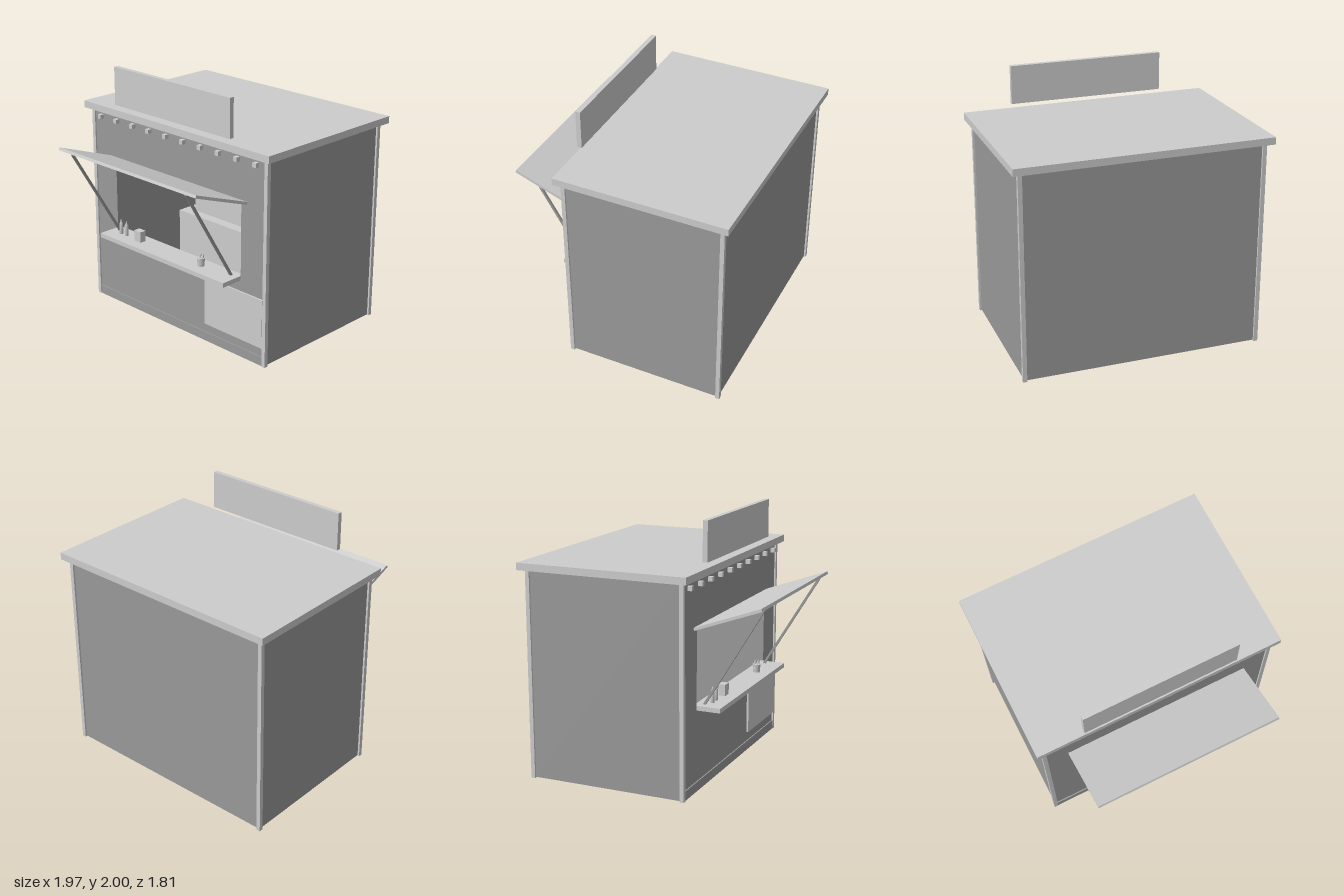
import * as THREE from 'three';

export function createModel() {
  const model = new THREE.Group();
  const light = new THREE.MeshStandardMaterial({ color: 0xcccccc });
  light.name = 'light grey';
  const dark = new THREE.MeshStandardMaterial({ color: 0x999999 });
  dark.name = 'mid grey';

  const add = (name, geometry, material, x = 0, y = 0, z = 0, parent = model) => {
    const mesh = new THREE.Mesh(geometry, material);
    mesh.name = name;
    mesh.position.set(x, y, z);
    parent.add(mesh);
    return mesh;
  };
  // Box given by its limits on each axis
  const box = (name, material, [x0, x1], [y0, y1], [z0, z1]) =>
    add(name, new THREE.BoxGeometry(x1 - x0, y1 - y0, z1 - z0), material,
      (x0 + x1) / 2, (y0 + y1) / 2, (z0 + z1) / 2);
  // Flat bar between two points of the yz plane
  const bar = (name, material, x, width, thick, [z0, y0], [z1, y1]) => {
    const length = Math.hypot(z1 - z0, y1 - y0);
    const mesh = add(name, new THREE.BoxGeometry(width, thick, length), material,
      x, (y0 + y1) / 2, (z0 + z1) / 2);
    mesh.rotation.x = -Math.atan2(y1 - y0, z1 - z0);
    return mesh;
  };

  // Shell: floor, walls and corner posts
  box('floor', dark, [-0.92, 0.92], [0.005, 0.07], [-0.845, 0.38]);
  box('backWall', dark, [-0.91, 0.91], [0.005, 1.605], [-0.85, -0.82]);
  for (const s of [-1, 1]) {
    const outer = s * 0.925, inner = s * 0.895;
    box('sideWall', dark, [Math.min(outer, inner), Math.max(outer, inner)], [0.005, 1.605], [-0.835, 0.375]);
    const edge = s > 0 ? [0.908, 0.94] : [-0.94, -0.908];
    box('frontPost', light, edge, [0, 1.605], [0.368, 0.4]);
    box('backPost', light, edge, [0, 1.605], [-0.865, -0.833]);
  }

  // Front wall with the serving hatch cut out
  const wall = new THREE.Shape([[-0.91, 0.07], [0.91, 0.07], [0.91, 1.605], [-0.91, 1.605]]
    .map(([x, y]) => new THREE.Vector2(x, y)));
  wall.holes.push(new THREE.Path([[-0.68, 0.64], [-0.68, 1.24], [0.68, 1.24], [0.68, 0.64]]
    .map(([x, y]) => new THREE.Vector2(x, y))));
  add('frontWall', new THREE.ExtrudeGeometry(wall, { depth: 0.03, bevelEnabled: false }), dark, 0, 0, 0.358);
  box('baseBeam', dark, [-0.908, 0.908], [0.003, 0.075], [0.36, 0.398]);
  box('menuPanel', light, [0.32, 0.908], [0.148, 0.535], [0.388, 0.403]);

  // Roof and sign board
  box('roof', light, [-0.985, 0.985], [1.605, 1.66], [-0.91, 0.44]);
  box('signBoard', light, [-0.612, 0.612], [1.7, 2], [0.402, 0.44]);

  // Row of small lamps under the eaves
  for (let i = 0; i < 10; i++) {
    const x = -0.83 + i * 0.1844;
    box('lamp', light, [x - 0.017, x + 0.017], [1.537, 1.571], [0.386, 0.422]);
  }

  // Raised hatch flap with its struts, and the serving shelf
  bar('hatchFlap', light, 0, 1.48, 0.022, [0.39, 1.238], [0.901, 1.423]);
  for (const s of [-1, 1]) bar('strut', dark, s * 0.615, 0.018, 0.018, [0.42, 0.65], [0.874, 1.4]);
  box('servingShelf', light, [-0.68, 0.68], [0.62, 0.655], [0.36, 0.572]);

  // Fittings inside
  box('workCounter', light, [-0.8, -0.07], [0.07, 0.55], [-0.82, -0.41]);
  box('counterTopUnit', light, [-0.7, -0.07], [0.55, 0.77], [-0.8, -0.5]);
  box('cabinet', light, [0.245, 0.88], [0.07, 0.86], [-0.82, -0.3]);

  // Sauce bottles
  const bottle = new THREE.LatheGeometry([
    [0, 0], [0.015, 0], [0.015, 0.085], [0.006, 0.1], [0.003, 0.12], [0, 0.12],
  ].map(([x, y]) => new THREE.Vector2(x, y)), 12);
  for (const x of [-0.557, -0.495]) add('sauceBottle', bottle, light, x, 0.655, 0.46);

  // Napkin holder
  box('napkinHolder', light, [-0.375, -0.305], [0.655, 0.742], [0.43, 0.485]);

  // Cup with leaning cutlery
  const cup = new THREE.Group();
  cup.name = 'cutleryCup';
  cup.position.set(0.34, 0.655, 0.46);
  model.add(cup);
  add('cup', new THREE.CylinderGeometry(0.032, 0.026, 0.065, 12), light, 0, 0.0325, 0, cup);
  for (let i = 0; i < 4; i++) {
    const stick = add('cutlery', new THREE.BoxGeometry(0.012, 0.07, 0.005), light,
      -0.018 + i * 0.014, 0.062, (i % 2 - 0.5) * 0.02, cup);
    stick.rotation.z = -0.2;
  }

  return model;
}
